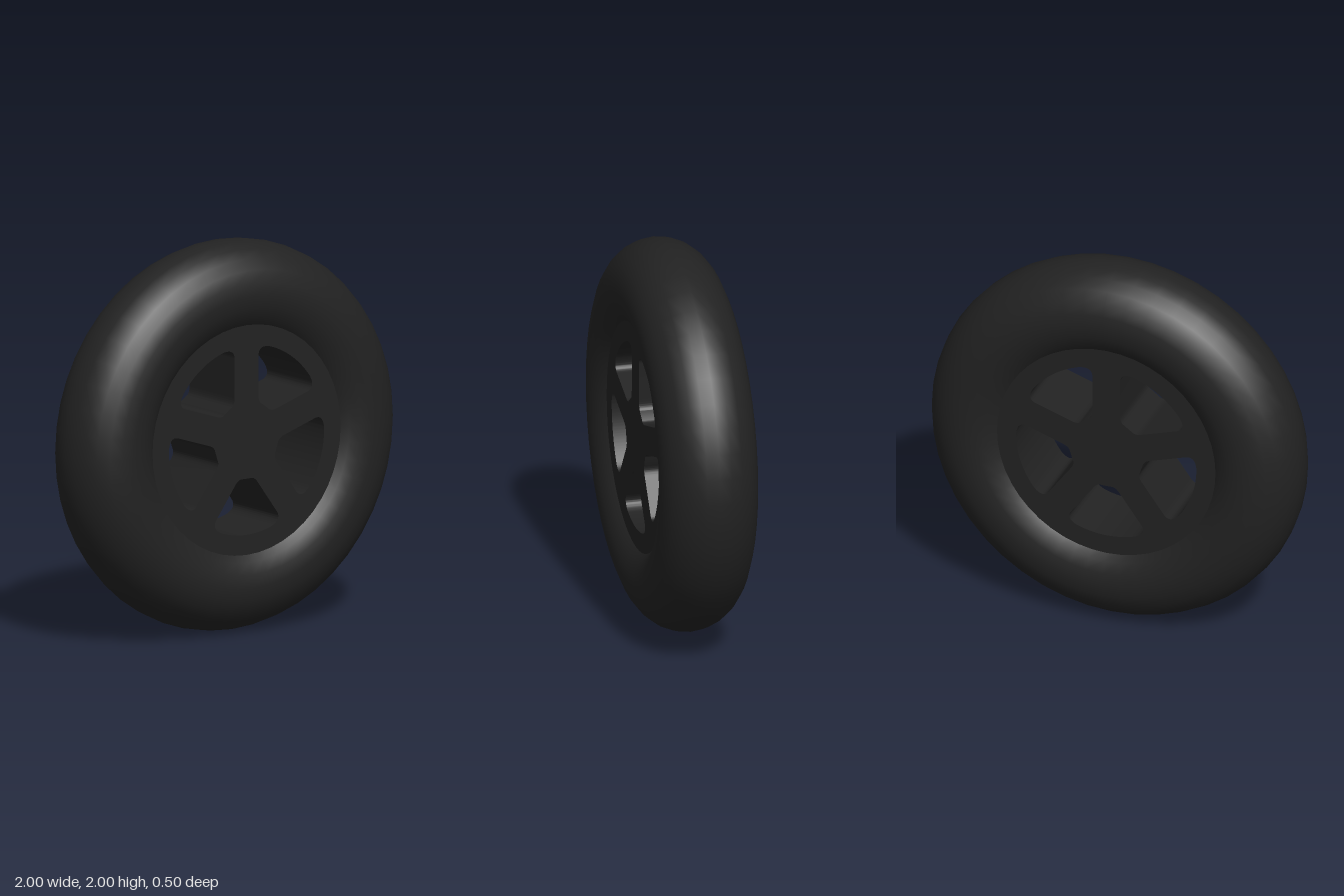
import * as THREE from 'three';
import { toCreasedNormals } from 'three/addons/utils/BufferGeometryUtils.js';

const SPOKES = 5;
const SPOKE_HALF = 0.075; // half width of a spoke
const HUB_R = 0.2;
const WINDOW_R = 0.487;
const RIM_R = 0.6;
const DEPTH = 0.38;

// Rounded window between two spokes, centred on the given angle
function windowPath(centre) {
  const half = Math.PI / SPOKES;
  const at = (r, a) => [r * Math.cos(centre + a), r * Math.sin(centre + a)];
  // angle from the window centre to the spoke edge at radius r
  const edge = (r) => half - Math.asin(SPOKE_HALF / r);
  const path = new THREE.Path();
  const outer = 0.32, inner = 0.12; // where the arcs meet the rounded corners
  path.moveTo(...at(0.235, -edge(0.235)));
  path.lineTo(...at(0.43, -edge(0.43)));
  path.quadraticCurveTo(...at(WINDOW_R, -edge(WINDOW_R)), ...at(WINDOW_R, -outer));
  path.absarc(0, 0, WINDOW_R, centre - outer, centre + outer, false);
  path.quadraticCurveTo(...at(WINDOW_R, edge(WINDOW_R)), ...at(0.43, edge(0.43)));
  path.lineTo(...at(0.235, edge(0.235)));
  path.quadraticCurveTo(...at(HUB_R, edge(HUB_R)), ...at(HUB_R, inner));
  path.lineTo(...at(HUB_R, -inner));
  path.quadraticCurveTo(...at(HUB_R, -edge(HUB_R)), ...at(0.235, -edge(0.235)));
  return path;
}

export function createModel() {
  const group = new THREE.Group();
  group.name = 'wheel';
  const rubber = new THREE.MeshStandardMaterial({ color: 0x222222 });
  const metal = new THREE.MeshStandardMaterial({ color: 0x222222 });

  // Round tyre
  const tyre = new THREE.Mesh(new THREE.TorusGeometry(0.75, 0.25, 24, 48), rubber);
  tyre.name = 'tyre';

  // Thick disc with five windows, its outer edge buried in the tyre
  const disc = new THREE.Shape();
  disc.absarc(0, 0, RIM_R, 0, Math.PI * 2, false);
  for (let i = 0; i < SPOKES; i++) {
    disc.holes.push(windowPath(-Math.PI / 2 + (i * 2 * Math.PI) / SPOKES));
  }
  const rimGeo = new THREE.ExtrudeGeometry(disc, { depth: DEPTH, bevelEnabled: false, curveSegments: 24 });
  rimGeo.translate(0, 0, -DEPTH / 2);
  const rim = new THREE.Mesh(toCreasedNormals(rimGeo, 0.6), metal);
  rim.name = 'spokedRim';

  tyre.position.y = rim.position.y = 1;
  group.add(tyre, rim);
  return group;
}
